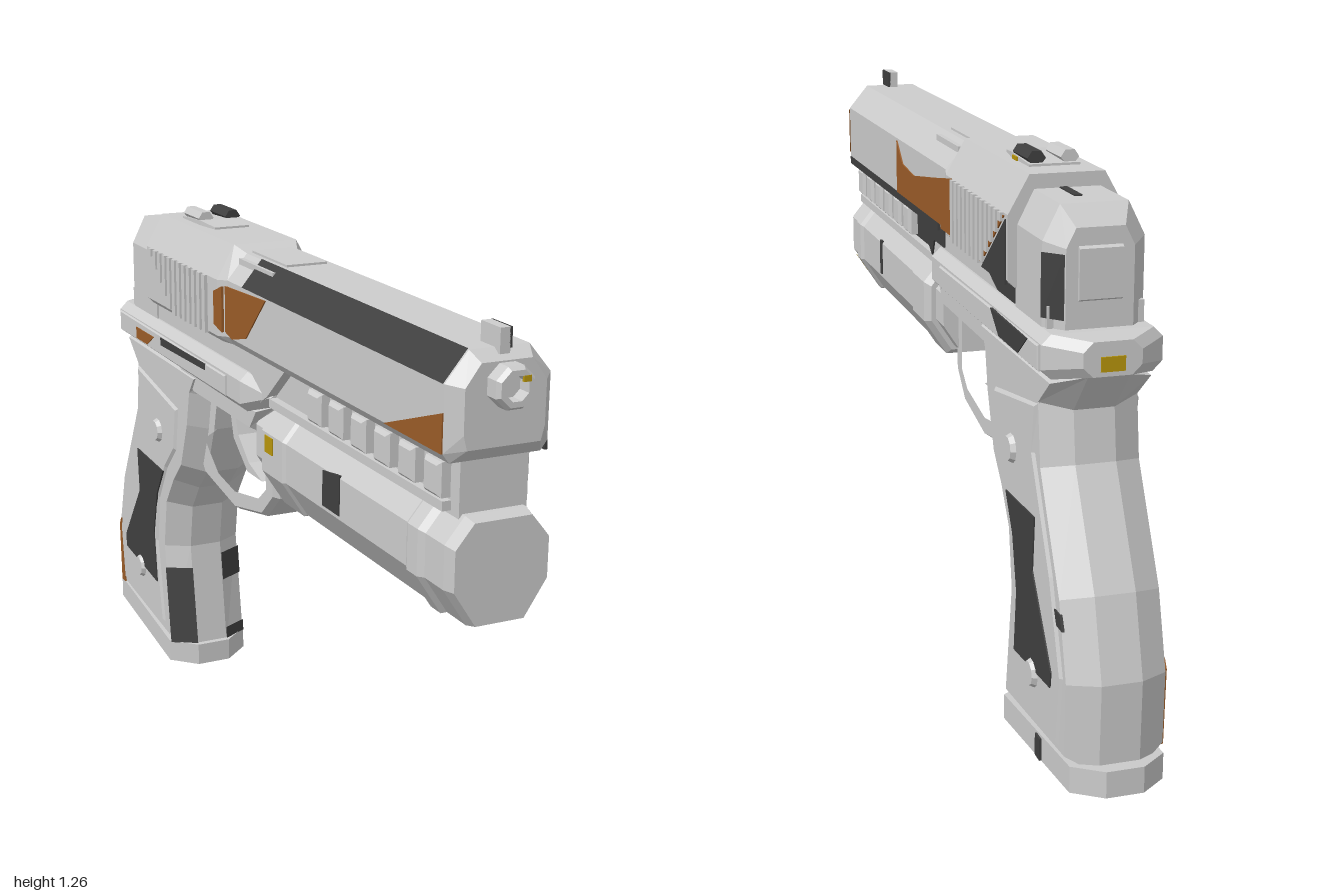
import * as THREE from 'three';

const mat = (name, color) => {
  const m = new THREE.MeshStandardMaterial({ color, flatShading: true });
  m.name = name;
  return m;
};

export function createModel() {
  const root = new THREE.Group();
  root.name = 'pistol';
  const light = mat('light grey', 0xcccccc), dark = mat('charcoal', 0x404040);
  const orange = mat('burnt orange', 0x9a5c28), gold = mat('gold', 0xb8960c);

  const add = (name, geo, m = light) => {
    const mesh = new THREE.Mesh(geo, m);
    mesh.name = name;
    root.add(mesh);
    return mesh;
  };
  const box = (name, x, y, z, w, h, d, m) => add(name, new THREE.BoxGeometry(w, h, d).translate(x, y, z), m);
  const V = (p) => p.map(([a, b]) => new THREE.Vector2(a, b));

  // Side profile given as [z, y], extruded across x and bevelled inwards
  const side = (name, pts, half, size = 0, thick = size, m = light, hole = null, x = 0) => {
    const shape = new THREE.Shape(V(pts));
    if (hole) shape.holes.push(new THREE.Path(V(hole)));
    const depth = 2 * (half - thick);
    const geo = new THREE.ExtrudeGeometry(shape, {
      depth, bevelEnabled: size > 0, bevelSize: size, bevelOffset: -size, bevelThickness: thick, bevelSegments: 1,
    });
    return add(name, geo.translate(0, 0, -depth / 2).rotateY(-Math.PI / 2).translate(x, 0, 0), m);
  };
  const plate = (name, pts, x, m) => side(name, pts, 0.003, 0, 0, m, null, x);

  // Flat convex polygon in space
  const soup = (tris) => {
    const g = new THREE.BufferGeometry();
    g.setAttribute('position', new THREE.Float32BufferAttribute(tris.flat(), 3));
    g.computeVertexNormals();
    return g;
  };
  const fan = (p) => p.slice(2).flatMap((q, i) => [p[0], p[i + 1], q]);
  const face = (name, pts, m) => add(name, soup(fan(pts)), m);

  // Loft of mirrored half sections, stations [z, half] running from back to front
  const loft = (name, stations, m) => {
    const rings = stations.map(([z, half]) =>
      [...half, ...half.slice().reverse().map(([x, y]) => [-x, y])].map(([x, y]) => [x, y, z]));
    const tris = [...fan(rings[0].slice().reverse()), ...fan(rings[rings.length - 1])];
    for (let r = 0; r + 1 < rings.length; r++) {
      const a = rings[r], b = rings[r + 1], n = a.length;
      for (let i = 0; i < n; i++) {
        const j = (i + 1) % n;
        tris.push(a[i], a[j], b[j], a[i], b[j], b[i]);
      }
    }
    return add(name, soup(tris), m);
  };

  // Slide: slim front half, wider rear half
  const slim = [[0.1, 1], [0.115, 1.02], [0.115, 1.155], [0.065, 1.215]];
  loft('slideFront', [[-0.1, slim], [0.93, slim], [0.96, [[0.08, 1.03], [0.088, 1.06], [0.088, 1.15], [0.055, 1.195]]]]);
  const wide = [[0.11, 1], [0.125, 1.015], [0.125, 1.15], [0.08, 1.23]];
  loft('slideRear', [[-0.6, wide], [-0.13, wide], [-0.09, slim]]);
  box('topPlate', 0, 1.195, 0.005, 0.17, 0.02, 0.19);
  box('topRib', 0, 1.216, 0.005, 0.1, 0.008, 0.19);

  // Slide paint
  plate('slideOrangeFront', [[0.37, 1.15], [0.31, 1.1], [0.2, 1.09], [0, 1.12], [-0.09, 1.135], [-0.09, 1.02], [0.37, 1.02]], 0.115, orange);
  plate('slideOrangeRear', [[-0.09, 1.135], [-0.18, 1.15], [-0.18, 1.02], [-0.09, 1.02]], 0.125, orange);
  plate('serrationBacking', [[-0.19, 1.14], [-0.19, 1.015], [-0.42, 1.015], [-0.58, 1.145]], 0.125, orange);
  plate('slideDarkWedge', [[-0.42, 1.005], [-0.59, 1.14], [-0.59, 1.005]], 0.125, dark);
  plate('slideDarkEdge', [[0.93, 1], [0.93, 1.02], [-0.02, 1.02], [-0.02, 1]], 0.113, dark);
  plate('slideOrangeLeft', [[0.13, 1.15], [-0.1, 1.14], [-0.1, 1.03], [-0.06, 1.02], [0.02, 1.04]], -0.115, orange);
  plate('slideOrangeLeftRear', [[-0.1, 1.14], [-0.15, 1.12], [-0.15, 1.04], [-0.1, 1.03]], -0.124, orange);
  plate('slideOrangeTip', [[0.93, 1.1], [0.93, 1.02], [0.7, 1.02]], -0.115, orange);
  face('shoulderDark', [[-0.118, 1.156, 0], [-0.118, 1.156, 0.93], [-0.067, 1.218, 0.93], [-0.067, 1.218, 0]], dark);
  face('noseOrange', [[0.117, 1.03, 0.932], [0.117, 1.15, 0.932], [0.09, 1.15, 0.962], [0.09, 1.065, 0.962]].reverse(), orange);

  // Grip serrations on both sides of the slide
  for (const s of [1, -1]) for (let i = 0; i < 12; i++) {
    const z = -0.2 - i * 0.033, low = 1.01 + Math.max(0, -0.42 - z) * 0.85;
    box('serration', s * 0.127, (low + 1.15) / 2, z, 0.012, 1.15 - low, 0.019);
  }

  // Muzzle
  const ring = V([[0.026, 0], [0.045, 0], [0.045, 0.1], [0.038, 0.11], [0.026, 0.11], [0.026, 0]]);
  add('muzzle', new THREE.LatheGeometry(ring, 8, Math.PI / 8).rotateX(Math.PI / 2).translate(0, 1.15, 0.89));
  add('bore', new THREE.CircleGeometry(0.028, 8).translate(0, 1.15, 0.968));
  box('muzzleGold', 0.02, 1.168, 0.998, 0.016, 0.012, 0.006, gold);

  // Sights
  box('frontSight', 0, 1.23, 0.915, 0.022, 0.05, 0.07);
  plate('frontSightDark', [[0.95, 1.215], [0.95, 1.255], [0.88, 1.255], [0.88, 1.215]], 0.012, dark);
  loft('rearSightBase', [[-0.52, [[0.055, 1.22], [0.055, 1.235]]], [-0.4, [[0.055, 1.22], [0.055, 1.242]]], [-0.33, [[0.045, 1.22], [0.045, 1.235]]]]);
  for (const s of [1, -1]) {
    const post = [[0.012, 1.235], [0.02, 1.245], [0.01, 1.26]];
    loft('rearSightPost', [[-0.51, post], [-0.41, post]], s > 0 ? dark : light).position.x = s * 0.036;
  }
  box('rearSightGold', 0.056, 1.232, -0.43, 0.006, 0.012, 0.03, gold);

  // Receiver and rear block
  side('receiver', [[0.2, 1.005], [0.1, 0.92], [0.05, 0.89], [-0.78, 0.89], [-0.78, 1.005]], 0.1);
  const rear = [[0.105, 0.94], [0.105, 1.13], [0.07, 1.2]], rearEnd = [[0.07, 0.94], [0.07, 1.12], [0.05, 1.16]];
  loft('rearBlock', [[-0.8, rearEnd], [-0.76, rear], [-0.59, rear]]);
  side('rearPanel', [[-0.79, 1.01], [-0.808, 1.02], [-0.808, 1.12], [-0.79, 1.13]], 0.045);
  face('rearDark', [[0.109, 0.98, -0.765], [0.074, 0.98, -0.804], [0.074, 1.11, -0.804], [0.109, 1.11, -0.765]], dark);
  box('topMark', 0.01, 1.2, -0.65, 0.016, 0.006, 0.09, dark);
  plate('receiverDark', [[0.18, 1], [-0.03, 1], [-0.03, 0.96], [0.06, 0.96], [0.08, 0.92], [0.12, 0.945]], 0.101, dark);
  plate('receiverDarkRear', [[-0.36, 1], [-0.58, 1], [-0.58, 0.962], [-0.46, 0.962]], 0.101, dark);

  // Frame slab with side panels
  const slab = (w, lo, hi) => [[w - 0.02, lo], [w, lo + 0.02], [w, hi - 0.02], [w - 0.02, hi]];
  loft('frameSlab', [[-0.88, slab(0.06, 0.885, 0.955)], [-0.82, slab(0.125, 0.87, 0.96)], [0, slab(0.125, 0.86, 0.955)], [0.1, slab(0.09, 0.895, 0.935)]]);
  for (const s of [1, -1])
    side('framePanel', [[-0.08, 0.88], [-0.08, 0.93], [-0.81, 0.938], [-0.81, 0.885]], 0.005, 0.003, 0.003, light, null, s * 0.125);
  plate('frameDark', [[-0.5, 0.935], [-0.75, 0.935], [-0.69, 0.89], [-0.56, 0.89]], 0.129, dark);
  plate('frameDarkLeft', [[-0.2, 0.93], [-0.5, 0.93], [-0.5, 0.91], [-0.2, 0.915]], -0.129, dark);
  plate('frameOrangeLeft', [[-0.55, 0.92], [-0.68, 0.92], [-0.68, 0.89], [-0.6, 0.89]], -0.129, orange);
  box('frameGold', 0, 0.91, -0.88, 0.05, 0.03, 0.006, gold);
  side('frameUnderside', [[0.06, 0.88], [0.01, 0.8], [-0.36, 0.8], [-0.5, 0.88]], 0.1, 0.02, 0.04);

  // Trigger and guard
  side('triggerGuard',
    [[0.1, 0.9], [0.04, 0.82], [0.04, 0.645], [-0.03, 0.58], [-0.2, 0.545], [-0.4, 0.58], [-0.5, 0.7], [-0.5, 0.88]],
    0.055, 0.01, 0.015, light,
    [[0, 0.8], [0, 0.65], [-0.05, 0.61], [-0.2, 0.583], [-0.31, 0.6], [-0.37, 0.645], [-0.41, 0.68], [-0.34, 0.72], [-0.32, 0.8]]);
  side('trigger', [[-0.275, 0.81], [-0.305, 0.81], [-0.275, 0.71], [-0.19, 0.645], [-0.1, 0.645], [-0.18, 0.67], [-0.245, 0.725]], 0.025);

  // Grip
  side('grip',
    [[-0.3, 0.88], [-0.34, 0.8], [-0.36, 0.71], [-0.41, 0.58], [-0.47, 0.52], [-0.52, 0.45], [-0.54, 0.33], [-0.5, 0.04],
      [-0.965, 0.085], [-0.97, 0.28], [-0.92, 0.45], [-0.795, 0.68], [-0.78, 0.79], [-0.86, 0.88]], 0.105, 0.035, 0.062);
  side('gripPanels',
    [[-0.45, 0.75], [-0.745, 0.8], [-0.73, 0.69], [-0.85, 0.47], [-0.92, 0.28], [-0.9, 0.12], [-0.58, 0.1], [-0.62, 0.33],
      [-0.6, 0.46], [-0.54, 0.56], [-0.47, 0.63]], 0.111, 0.01, 0.008);
  for (const s of [1, -1]) {
    plate('gripDarkPatch', [[-0.555, 0.55], [-0.75, 0.56], [-0.74, 0.44], [-0.865, 0.27], [-0.86, 0.235], [-0.62, 0.21], [-0.635, 0.35], [-0.605, 0.47]], s * 0.111, dark);
    for (const [z, y] of [[-0.59, 0.655], [-0.745, 0.215]])
      add('gripScrew', new THREE.CylinderGeometry(0.026, 0.037, 0.02, 10).rotateZ(-s * Math.PI / 2).translate(s * 0.112, y, z));
  }
  plate('gripOrangeStrip', [[-0.9, 0.11], [-0.925, 0.11], [-0.932, 0.28], [-0.92, 0.3]], -0.106, orange);
  plate('gripRearDark', [[-0.865, 0.41], [-0.9, 0.41], [-0.915, 0.38], [-0.88, 0.38]], 0.105, dark);

  // Dark patches on the front corners of the grip
  const corner = (s, y0, y1) => {
    const p = (x, y, back) => [s * x, y, -0.493 - 0.143 * y - back];
    const pts = [p(0.043, y0, -0.004), p(0.108, y0, 0.032), p(0.108, y1, 0.032), p(0.043, y1, -0.004)];
    face('gripCornerDark', s > 0 ? pts : pts.reverse(), dark);
  };
  corner(1, 0.225, 0.3);
  corner(1, 0.06, 0.09);
  corner(-1, 0.06, 0.27);

  // Tilted base plate
  loft('basePlate', [[-1, 0.04], [-0.95, 0.1], [-0.54, 0.11], [-0.49, 0.045]].map(([z, w]) => {
    const y = (-0.49 - z) * 0.1;
    return [z, [[w, y], [w, y + 0.058]]];
  }));
  plate('baseDark', [[-0.755, 0.03], [-0.755, 0.08], [-0.785, 0.08], [-0.785, 0.03]], 0.106, dark);

  // Under-barrel light
  const oct = (k) => [[0.06, 0.665], [0.115, 0.75], [0.115, 0.845], [0.07, 0.9]].map(([x, y]) => [x * k, 0.785 + (y - 0.785) * k]);
  loft('lightBody', [[0.11, oct(0.97)], [0.8, oct(0.97)]]);
  loft('lightRearCollar', [[0.09, oct(0.9)], [0.11, oct(1.02)], [0.22, oct(1.02)], [0.23, oct(0.97)]]);
  loft('lightFrontCollar', [[0.79, oct(0.95)], [0.81, oct(1.03)], [0.85, oct(1.03)], [0.87, oct(0.95)]]);
  loft('lightHead', [[0.84, oct(0.96)], [0.94, oct(0.96)], [0.97, oct(0.9)]]);
  loft('lightNeck', [[0.02, oct(0.8)], [0.12, oct(0.8)]]);
  plate('lightSlot', [[0.59, 0.76], [0.59, 0.85], [0.57, 0.85], [0.57, 0.76]], 0.111, dark);
  plate('lightDarkLeft', [[0.5, 0.76], [0.5, 0.85], [0.42, 0.84], [0.42, 0.76]], -0.111, dark);
  plate('lightGoldLeft', [[0.13, 0.8], [0.13, 0.84], [0.17, 0.84], [0.17, 0.8]], -0.117, gold);
  face('lightGold', [[0.075, 0.689, 0.87], [0.108, 0.74, 0.87], [0.108, 0.74, 0.93], [0.075, 0.689, 0.93]], gold);

  // Accessory rail with square blocks
  box('railCore', 0, 0.945, 0.51, 0.15, 0.12, 0.84);
  box('railLedge', 0, 0.905, 0.5, 0.19, 0.02, 0.8);
  plate('railDark', [[0.92, 0.915], [0.92, 1], [0.15, 1], [0.15, 0.915]], 0.076, dark);
  for (const s of [1, -1]) for (let i = 0; i < 6; i++) {
    const z = 0.865 - i * 0.104;
    side('railBlock', [[z - 0.031, 0.92], [z + 0.031, 0.92], [z + 0.031, 0.992], [z - 0.031, 0.992]], 0.02, 0.008, 0.008, light, null, s * 0.083);
  }
  return root;
}
